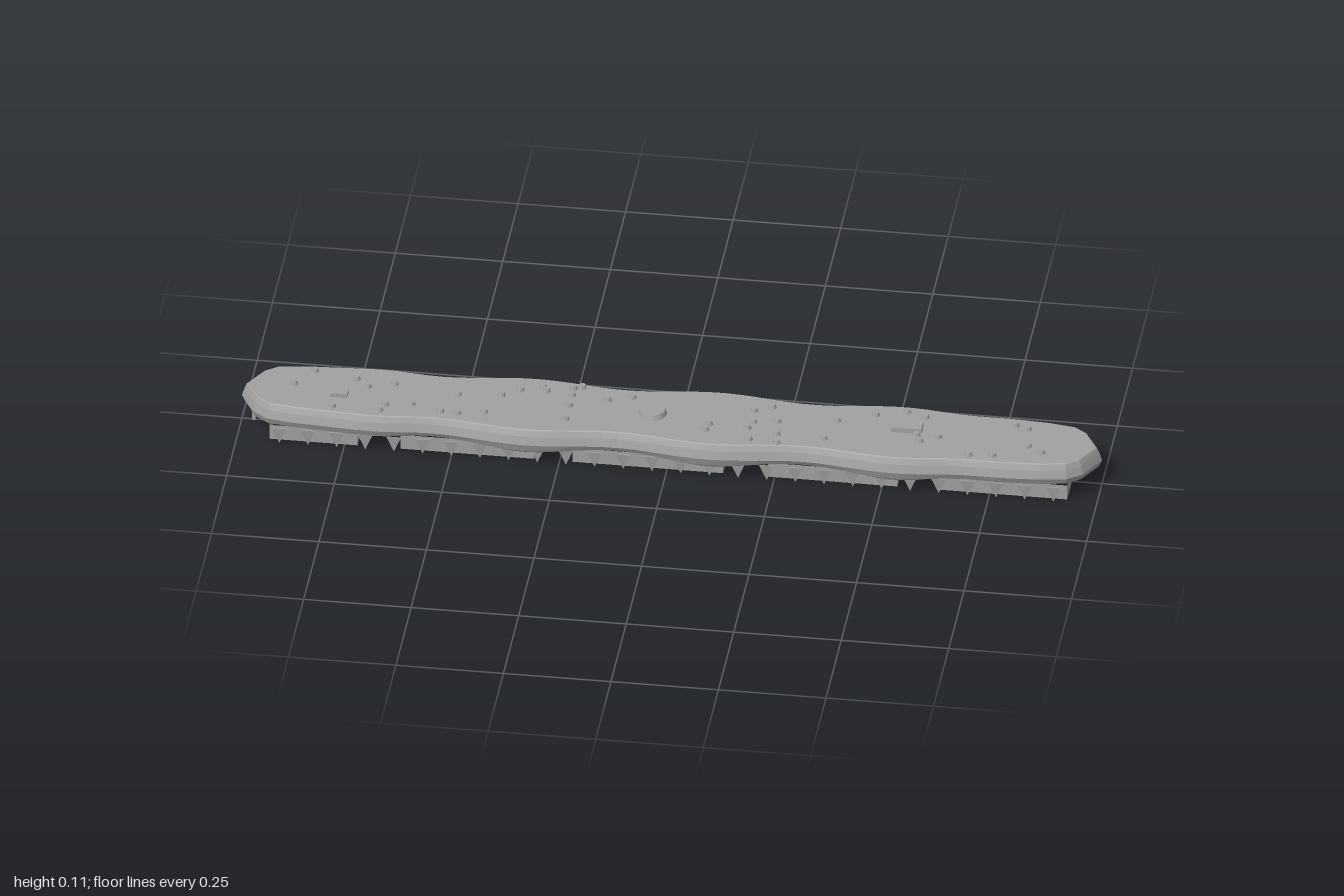
import * as THREE from 'three';

const grey = new THREE.MeshStandardMaterial({ color: 0xa0a0a0, flatShading: true, side: THREE.DoubleSide });
grey.name = 'grey';

const lerp = THREE.MathUtils.lerp;
const wave = x => Math.cos((2 * Math.PI * (x - 0.1)) / 0.43) * (1 - THREE.MathUtils.smoothstep(Math.abs(x), 0.55, 0.8));

// half width of the hull along its length: blunt pointed ends, wavy middle
const taper = [[0, 0.115], [0.65, 0.112], [0.78, 0.108], [0.87, 0.102], [0.93, 0.092], [0.965, 0.066], [1, 0]];
function halfWidth(x) {
  const a = Math.abs(x);
  for (let i = 1; i < taper.length; i++) {
    const [x0, w0] = taper[i - 1], [x1, w1] = taper[i];
    if (a <= x1) return lerp(w0, w1, (a - x0) / (x1 - x0)) + 0.01 * wave(x);
  }
  return 0;
}

// hull lofted from inset copies of one plan outline
function hullGeometry() {
  const ends = [0.87, 0.93, 0.965, 1];
  const xs = ends.map(x => -x).reverse();
  for (let i = 0; i <= 44; i++) xs.push(-0.8 + (1.6 * i) / 44);
  xs.push(...ends);
  const plan = [...xs.map(x => [x, halfWidth(x)]), ...xs.slice(1, -1).reverse().map(x => [x, -halfWidth(x)])];
  const N = plan.length;
  const levels = [[0.037, 0.024, 0.007], [0.047, 0.007, 0.004], [0.063, 0, 0], [0.083, 0.006, 0], [0.096, 0.012, 0], [0.098, 0.015, 0]];
  const pos = [], index = [];
  for (const [y, inset, dip] of levels) {
    plan.forEach(([x, z], i) => {
      const p = plan[(i + N - 1) % N], q = plan[(i + 1) % N];
      const tx = q[0] - p[0], tz = q[1] - p[1], l = Math.hypot(tx, tz);
      pos.push(x + (tz / l) * inset, y - dip * wave(x), z - (tx / l) * inset);
    });
  }
  for (let k = 0; k < levels.length - 1; k++) {
    for (let i = 0; i < N; i++) {
      const j = (i + 1) % N, a = k * N + i, b = k * N + j;
      index.push(a, b, b + N, a, b + N, a + N);
    }
  }
  // deck and underside, bridged from front edge to back edge
  const top = (levels.length - 1) * N;
  for (let i = 0; i < N / 2; i++) {
    const f0 = i, f1 = i + 1, b0 = (N - i) % N, b1 = N - i - 1;
    index.push(top + f0, top + f1, top + b1, top + f0, top + b1, top + b0);
    index.push(f0, b1, f1, f0, b0, b1);
  }
  const g = new THREE.BufferGeometry();
  g.setAttribute('position', new THREE.Float32BufferAttribute(pos, 3));
  g.setIndex(index);
  g.computeVertexNormals();
  return g;
}

export function createModel() {
  const model = new THREE.Group();
  const add = (name, geometry, x = 0, y = 0, z = 0) => {
    const m = new THREE.Mesh(geometry, grey);
    m.name = name;
    m.position.set(x, y, z);
    model.add(m);
    return m;
  };

  add('hull', hullGeometry());

  // open-bottomed bays below the hull
  const bays = [[-0.925, -0.72], [-0.62, -0.31], [-0.22, 0.13], [0.235, 0.535], [0.635, 0.93]];
  const depth = 0.038, half = 0.079;
  for (const [x0, x1] of bays) {
    const mid = (x0 + x1) / 2;
    for (const s of [-1, 1]) {
      add('baySideWall', new THREE.PlaneGeometry(x1 - x0, depth), mid, depth / 2, s * half).rotation.y = s > 0 ? 0 : Math.PI;
      add('bayEndWall', new THREE.PlaneGeometry(2 * half, depth), s > 0 ? x1 : x0, depth / 2, 0).rotation.y = (s * Math.PI) / 2;
    }
  }

  // rows of thin pointed teeth along both lower edges
  const tooth = new THREE.ExtrudeGeometry(
    new THREE.Shape([new THREE.Vector2(0, 0), new THREE.Vector2(0.017, 0.042), new THREE.Vector2(-0.017, 0.042)]),
    { depth: 0.002, bevelEnabled: false });
  for (let i = 0; i < 28; i++) {
    for (const s of [-1, 1]) add('tooth', tooth, -0.9 + (i * 1.8) / 27, 0, s * 0.092 - 0.001).rotation.x = s * 0.13;
  }
  add('endPost', new THREE.BoxGeometry(0.008, 0.04, 0.008), -0.972, 0.02, 0);

  // deck fittings
  const deck = 0.098;
  add('domeBase', new THREE.CylinderGeometry(0.029, 0.033, 0.012, 20), -0.045, deck + 0.006, 0);
  add('largeDeckBox', new THREE.BoxGeometry(0.07, 0.012, 0.038), 0.545, deck + 0.006, -0.018);
  add('smallDeckBox', new THREE.BoxGeometry(0.038, 0.01, 0.028), -0.77, deck + 0.005, 0.02);
  const studs = [
    [-88, -1], [-84, -7], [-74, -5], [-71, -2], [-65, -4], [-78, 7.5], [-67, 7.5], [-66, 5], [-60, 4], [-53, 6], [-49, 6.4],
    [-43, 5], [-50, -1.6], [-40, -2.7], [-36, -5.5], [-31, -7.5], [-30, -6], [-24, -8], [-22, -8.6], [-24, -5], [-24, -0.5],
    [-24, 5.3], [-15.5, -4], [-10, -6], [9, 2.7], [8.5, 5.3], [18.5, -4.3], [22.5, -6.4], [19, 0.5], [18, 3.2], [19, 8],
    [24.5, -0.5], [25, 4.8], [25.5, 8.5], [36, 5.3], [38, -2.7], [46.5, -6.4], [53.5, -8.6], [58, -7], [57, 1], [58, 3.2],
    [62, 1], [70, 7.5], [75.5, 7], [79, -6.4], [82, -5.3], [83, 2], [86.5, 4.3]];
  const stud = new THREE.CylinderGeometry(0.007, 0.01, 0.009, 8);
  for (const [x, z] of studs) add('deckStud', stud, x / 100, deck + 0.0045, z / 100);

  return model;
}
